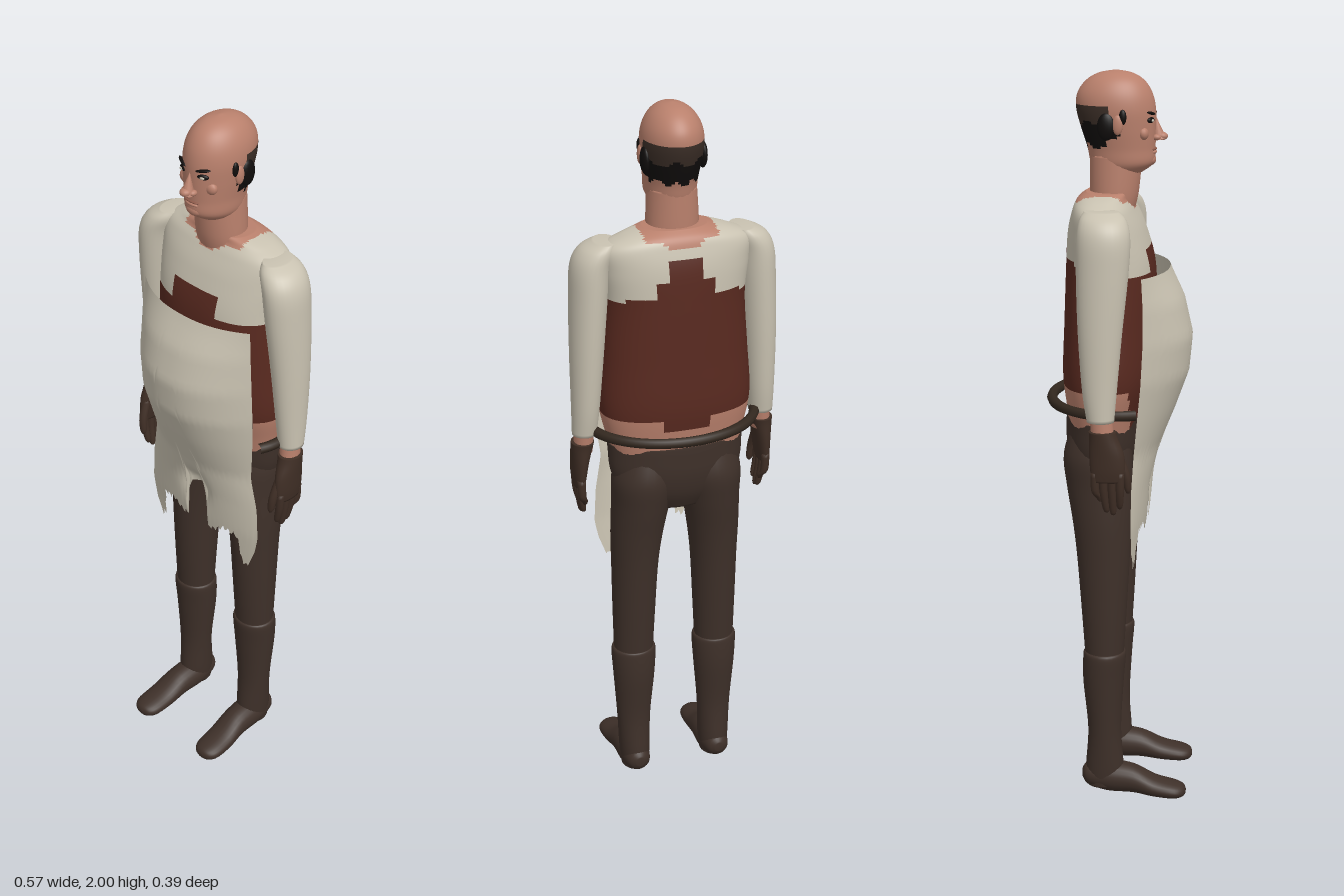
import * as THREE from 'three';

const mat = (name, color) => Object.assign(new THREE.MeshStandardMaterial({ color }), { name });

// Scalar Catmull-Rom through the columns of a ring table
function sampleRing(rings, t) {
  const n = rings.length - 1, i = Math.min(Math.floor(t * n), n - 1), f = t * n - i;
  const at = (k) => rings[Math.max(0, Math.min(n, k))];
  return rings[i].map((_, c) => {
    const [a, b, d, e] = [at(i - 1)[c], at(i)[c], at(i + 1)[c], at(i + 2)[c]];
    return b + 0.5 * f * (d - a + f * (2 * a - 5 * b + 4 * d - e + f * (3 * (b - d) + e - a)));
  });
}

// Closed smooth body from rings [y, cx, cz, rx, rz], lowest first; pick chooses a material slot per face
function loft(rings, segs = 24, rows = 24, pick = null, power = 1) {
  const pos = [], lists = [];
  const round = (v) => Math.sign(v) * Math.abs(v) ** power;
  for (let i = -1; i <= rows + 1; i++) {
    const [y, cx, cz, rx, rz] = sampleRing(rings, Math.max(0, Math.min(1, i / rows)));
    const k = i < 0 || i > rows ? 0 : 1;
    for (let j = 0; j < segs; j++) {
      const a = (j / segs) * Math.PI * 2;
      pos.push(cx + k * rx * round(Math.sin(a)), y, cz + k * rz * round(Math.cos(a)));
    }
  }
  for (let i = 0; i < rows + 2; i++) for (let j = 0; j < segs; j++) {
    const a = i * segs + j, b = i * segs + (j + 1) % segs, c = b + segs, d = a + segs;
    const mid = (k) => (pos[a * 3 + k] + pos[b * 3 + k] + pos[c * 3 + k] + pos[d * 3 + k]) / 4;
    const slot = pick ? pick(mid(0), mid(1), mid(2)) : 0;
    (lists[slot] ??= []).push(a, b, c, a, c, d);
  }
  const g = new THREE.BufferGeometry();
  g.setAttribute('position', new THREE.Float32BufferAttribute(pos, 3));
  g.setIndex(lists.flat());
  let start = 0;
  if (pick) lists.forEach((l, s) => { g.addGroup(start, l.length, s); start += l.length; });
  g.computeVertexNormals();
  return g;
}

// Piecewise linear lookup in [key, value] pairs
function lookup(table, x) {
  for (let i = 1; i < table.length; i++) {
    const [x0, y0] = table[i - 1], [x1, y1] = table[i];
    if (x <= x1) return y0 + (y1 - y0) * (x - x0) / (x1 - x0);
  }
  return table[table.length - 1][1];
}

// Apron sheet: bulging belly, narrow crotch, torn hem
function apronGeometry() {
  const shape = [ // y, half width, centre z, edge z
    [0.68, 0.18, 0.062, 0.05], [0.8, 0.205, 0.08, 0.05], [0.9, 0.2, 0.092, 0.05], [1.0, 0.182, 0.112, 0.055],
    [1.1, 0.195, 0.152, 0.065], [1.2, 0.205, 0.188, 0.075], [1.3, 0.205, 0.197, 0.08], [1.4, 0.2, 0.174, 0.08], [1.48, 0.192, 0.135, 0.075],
  ];
  const col = (c) => shape.map((r) => [r[0], r[c]]);
  const [wide, mid, edge] = [col(1), col(2), col(3)];
  const hem = [[0, 0.895], [0.16, 0.89], [0.19, 0.77], [0.3, 0.77], [0.48, 0.795], [0.7, 0.785], [0.82, 0.7], [0.93, 0.685], [1, 0.74]];
  const g = new THREE.PlaneGeometry(2, 1, 72, 40), p = g.attributes.position;
  for (let i = 0; i < p.count; i++) {
    const u = p.getX(i), v = p.getY(i) + 0.5, a = Math.abs(u);
    const low = lookup(hem, a) + 0.009 * Math.sin(u * 71) * (a > 0.2 ? 1 : 0);
    const y = low + (1.482 - low) * v, e = lookup(edge, y);
    const crotch = 0.035 * Math.exp(-((u / 0.2) ** 2) - ((y - 0.9) / 0.05) ** 2);
    p.setXYZ(i, u * lookup(wide, y), y, e + (lookup(mid, y) - e) * (1 - a ** 2.3) - crotch);
  }
  g.computeVertexNormals();
  return g;
}

export function createModel() {
  const model = new THREE.Group();
  const skin = mat('skin', 0xb9806c), cream = mat('cream cloth', 0xc9c2b1), vest = mat('maroon leather', 0x58291f);
  const brown = mat('brown cloth', 0x3e3029), glove = mat('glove leather', 0x3f2e25), black = mat('black hair', 0x100d0c);
  const hair = mat('brown hair', 0x3a2d26), belt = mat('belt leather', 0x33281f), lip = mat('lip', 0x8d5a4a);
  const apronMat = mat('apron cloth', 0xc9c2b1);
  apronMat.side = THREE.DoubleSide;
  const add = (name, geo, material, parent = model) => {
    const m = new THREE.Mesh(geo, material);
    m.name = name;
    parent.add(m);
    return m;
  };
  const blob = (name, material, x, y, z, sx, sy, sz, parent) => {
    const m = add(name, new THREE.SphereGeometry(1, 16, 12), material, parent);
    m.position.set(x, y, z);
    m.scale.set(sx, sy, sz);
    return m;
  };

  // Torso: bare waist, maroon vest with front and back tabs, cream shirt, open collar
  const torsoPick = (x, y, z) => {
    const a = Math.abs(x);
    if ((y > 1.662 && a < 0.1) || (z > -0.02 && y > 1.63 + a * 0.6 && a < 0.055)) return 0;
    if (z < -0.08 && y > 1.645 && a < 0.05) return 0;
    if (y < (a < 0.07 ? 1.145 : 1.175) && z < 0.04) return 0;
    const top = z > 0 ? (a < 0.075 ? 1.535 : 1.475) : a < 0.045 ? 1.615 : a < 0.075 ? 1.56 : 1.52 - 0.15 * Math.max(0, a - 0.1);
    return y < top ? 1 : 2;
  };
  add('torso', loft([
    [1.02, 0, -0.04, 0.17, 0.09], [1.1, 0, -0.037, 0.19, 0.102], [1.2, 0, -0.03, 0.208, 0.12], [1.34, 0, -0.025, 0.2, 0.121],
    [1.48, 0, -0.023, 0.192, 0.118], [1.58, 0, -0.033, 0.2, 0.102], [1.64, 0, -0.04, 0.2, 0.082],
    [1.668, 0, -0.042, 0.15, 0.068], [1.685, 0, -0.03, 0.085, 0.058],
  ], 72, 72, torsoPick, 0.85), [skin, vest, cream]);
  add('apron', apronGeometry(), apronMat);

  // Belt hoop standing off the back
  const hoop = Array.from({ length: 25 }, (_, i) => {
    const a = -0.35 + (i / 24) * (Math.PI + 0.7);
    return new THREE.Vector3(0.232 * Math.cos(a), 1.125, -0.183 * Math.sin(a));
  });
  add('beltHoop', new THREE.TubeGeometry(new THREE.CatmullRomCurve3(hoop), 64, 0.014, 8), belt);

  // Neck and head, with a fringe of hair round the back
  add('neck', loft([[1.62, 0, -0.02, 0.068, 0.055], [1.68, 0, -0.015, 0.07, 0.065], [1.78, 0, -0.01, 0.065, 0.07]]), skin);
  const headPick = (x, y, z) => {
    const front = y > 1.865 ? -0.018 : 0.005;
    const low = 1.805 + 0.008 * Math.sin(x * 150) + (z > -0.03 ? 0.015 : 0);
    if (z > front || y > 1.915 || y < low) return 0;
    return y < 1.862 + 0.008 * Math.sin(x * 90) ? 2 : 1;
  };
  add('head', loft([
    [1.735, 0, 0, 0.05, 0.06], [1.76, 0, 0.007, 0.066, 0.084], [1.8, 0, 0.004, 0.07, 0.09], [1.85, 0, -0.003, 0.077, 0.099],
    [1.9, 0, -0.01, 0.081, 0.105], [1.94, 0, -0.013, 0.075, 0.099], [1.972, 0, -0.012, 0.058, 0.078],
    [1.992, 0, -0.011, 0.033, 0.046], [2, 0, -0.01, 0.004, 0.005],
  ], 56, 56, headPick), [skin, hair, black]);

  // Face
  const face = new THREE.Group();
  face.name = 'face';
  model.add(face);
  const nose = add('nose', new THREE.ConeGeometry(0.019, 0.06, 12), skin, face);
  nose.position.set(0, 1.85, 0.1);
  nose.rotation.x = -0.15;
  blob('noseTip', skin, 0, 1.829, 0.111, 0.015, 0.011, 0.016, face);
  blob('mouth', lip, 0, 1.796, 0.09, 0.026, 0.004, 0.008, face);
  blob('lowerLip', skin, 0, 1.788, 0.089, 0.022, 0.006, 0.009, face);
  blob('chin', skin, 0, 1.768, 0.082, 0.026, 0.016, 0.014, face);
  for (const s of [1, -1]) {
    blob('nostril', skin, s * 0.014, 1.827, 0.098, 0.009, 0.008, 0.012, face);
    blob('cheek', skin, s * 0.043, 1.84, 0.066, 0.02, 0.018, 0.014, face);
    blob('eyeRim', black, s * 0.034, 1.874, 0.084, 0.016, 0.008, 0.007, face).rotation.y = s * 0.4;
    blob('eyeWhite', cream, s * 0.034, 1.873, 0.089, 0.009, 0.004, 0.004, face);
    const brow = blob('brow', black, s * 0.036, 1.892, 0.086, 0.021, 0.004, 0.006, face);
    brow.rotation.set(0, s * 0.4, s * 0.2);
    blob('ear', skin, s * 0.08, 1.865, 0.002, 0.008, 0.026, 0.014, face);
    blob('sideHair', black, s * 0.077, 1.86, -0.028, 0.012, 0.036, 0.024, face);
    blob('sideburn', black, s * 0.078, 1.885, 0.015, 0.007, 0.02, 0.01, face);
  }

  // Limbs, mirrored
  for (const s of [1, -1]) {
    const side = s > 0 ? 'left' : 'right';
    const mirrored = (rings) => rings.map(([y, cx, ...r]) => [y, cx * s, ...r]);
    const limb = (name, rings, material, segs, rows) => add(side + name, loft(mirrored(rings), segs, rows), material);

    limb('Sleeve', [
      [1.115, 0.25, -0.025, 0.033, 0.036], [1.2, 0.246, -0.028, 0.038, 0.046], [1.35, 0.24, -0.027, 0.045, 0.058],
      [1.5, 0.232, -0.022, 0.05, 0.068], [1.59, 0.224, -0.02, 0.052, 0.07], [1.635, 0.205, -0.023, 0.049, 0.062], [1.657, 0.185, -0.028, 0.03, 0.045],
    ], cream, 28, 36);
    limb('Wrist', [[1.06, 0.253, -0.018, 0.026, 0.03], [1.13, 0.25, -0.024, 0.026, 0.03]], skin, 20, 4);
    limb('Glove', [
      [0.955, 0.264, -0.006, 0.014, 0.04], [0.985, 0.263, -0.005, 0.019, 0.046], [1.03, 0.26, -0.008, 0.024, 0.046],
      [1.07, 0.256, -0.016, 0.029, 0.038], [1.09, 0.254, -0.02, 0.031, 0.036],
    ], glove, 24, 16);
    [[-0.038, 0.905], [-0.016, 0.875], [0.006, 0.868], [0.027, 0.885]].forEach(([z, tip]) => limb('Finger', [
      [tip - 0.006, 0.252, z * 0.8 + 0.004, 0.004, 0.004], [tip + 0.006, 0.254, z * 0.85 + 0.003, 0.009, 0.009],
      [0.93, 0.262, z, 0.011, 0.011], [0.98, 0.264, z, 0.012, 0.012],
    ], glove, 12, 10));
    limb('Thumb', [[0.922, 0.248, 0.047, 0.004, 0.004], [0.935, 0.249, 0.046, 0.01, 0.009], [0.975, 0.253, 0.041, 0.012, 0.012], [1.03, 0.257, 0.02, 0.012, 0.014]], glove, 12, 10);

    limb('TrouserLeg', [
      [0.4, 0.12, -0.03, 0.055, 0.052], [0.55, 0.118, -0.031, 0.06, 0.062], [0.7, 0.115, -0.033, 0.065, 0.072],
      [0.8, 0.11, -0.037, 0.072, 0.08], [0.9, 0.1, -0.044, 0.08, 0.09], [0.98, 0.092, -0.05, 0.088, 0.093], [1.05, 0.085, -0.045, 0.075, 0.08],
    ], brown, 28, 36);
    limb('Boot', [
      [0.03, 0.12, -0.032, 0.038, 0.046], [0.08, 0.12, -0.03, 0.043, 0.053], [0.2, 0.121, -0.03, 0.048, 0.046],
      [0.34, 0.12, -0.033, 0.059, 0.056], [0.415, 0.12, -0.03, 0.063, 0.059], [0.43, 0.12, -0.03, 0.057, 0.055],
    ], brown, 28, 30);
    // Foot is lofted heel to toe, then laid down along z
    limb('Foot', [
      [-0.092, 0.12, -0.062, 0.012, 0.014], [-0.075, 0.12, -0.06, 0.033, 0.033], [-0.02, 0.12, -0.055, 0.043, 0.044],
      [0.05, 0.122, -0.05, 0.042, 0.04], [0.11, 0.126, -0.032, 0.044, 0.029], [0.165, 0.128, -0.024, 0.042, 0.023], [0.19, 0.128, -0.022, 0.028, 0.016], [0.198, 0.128, -0.021, 0.008, 0.006],
    ], brown, 24, 30).geometry.rotateX(Math.PI / 2);
  }

  // Trouser seat
  add('trouserSeat', loft([
    [0.89, 0, -0.045, 0.1, 0.06], [0.94, 0, -0.045, 0.16, 0.085], [1.0, 0, -0.043, 0.183, 0.1], [1.06, 0, -0.04, 0.188, 0.104], [1.085, 0, -0.038, 0.19, 0.105],
  ], 40, 20), brown);
  return model;
}
